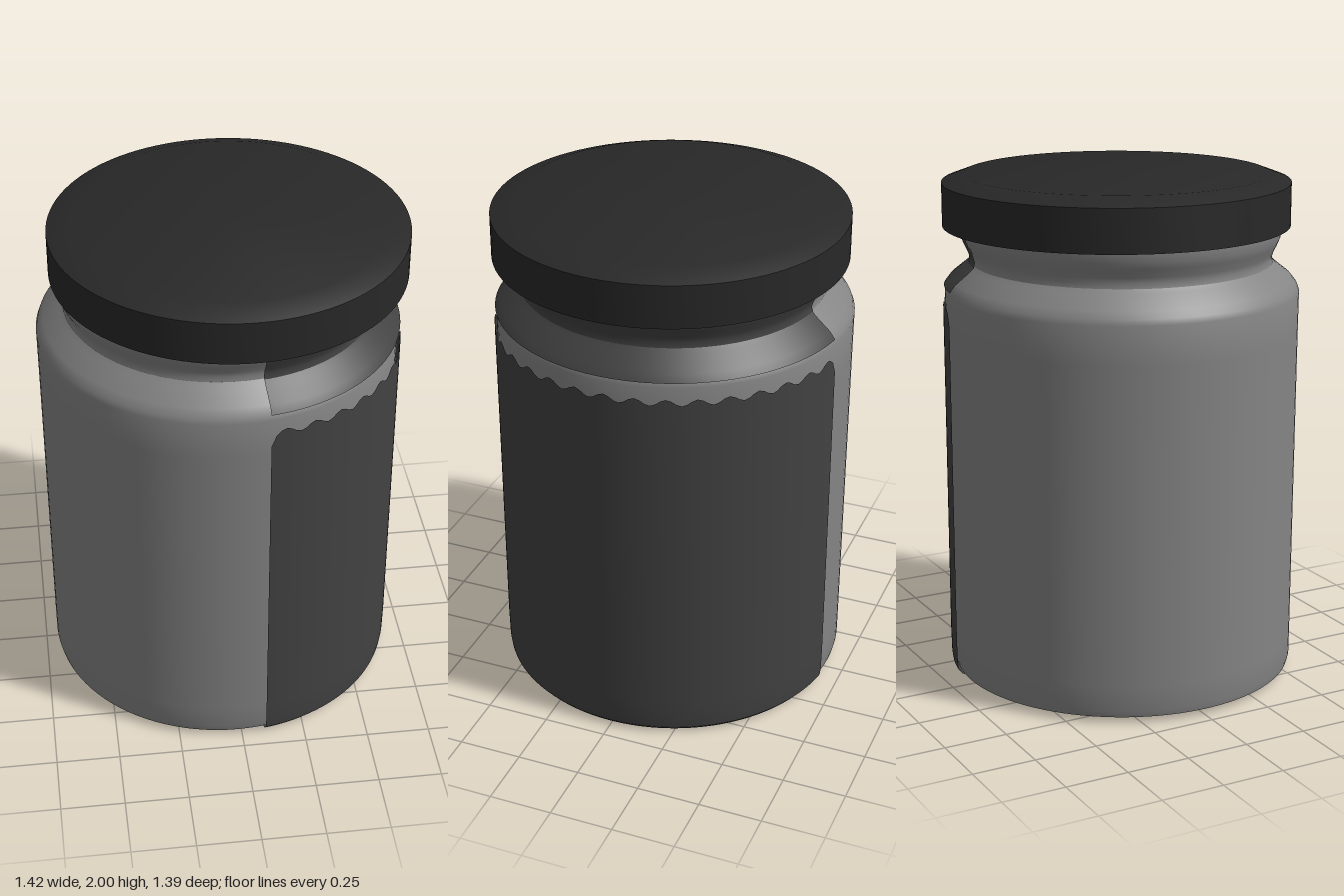
import * as THREE from 'three';
import { toCreasedNormals } from 'three/addons/utils/BufferGeometryUtils.js';

const SEGMENTS = 102;
const TEETH = 17;
const LABEL_HALF_ANGLE = THREE.MathUtils.degToRad(81.5);

const material = (color) => new THREE.MeshStandardMaterial({ color, side: THREE.DoubleSide });
const points = (profile) => profile.map(([r, y]) => new THREE.Vector2(r, y));

function addMesh(group, name, geometry, mat, x) {
  const mesh = new THREE.Mesh(toCreasedNormals(geometry, 0.5), mat);
  mesh.name = name;
  mesh.position.x = x;
  group.add(mesh);
}

// Full turn about y
const turned = (profile) => new THREE.LatheGeometry(points(profile), SEGMENTS);

// Partial turn centred on +x
const wrapped = (profile) => new THREE.LatheGeometry(
  points(profile), SEGMENTS, Math.PI / 2 - LABEL_HALF_ANGLE, 2 * LABEL_HALF_ANGLE);

// Shoulder and neck, shared by the glass and the band around it
const neckProfile = [
  [0.685, 1.572], [0.664, 1.6], [0.604, 1.648], [0.588, 1.664],
  [0.584, 1.684], [0.59, 1.705], [0.606, 1.738], [0.617, 1.765], [0.62, 1.8], [0.62, 1.9],
];

// Body wrap: a curl under the base, a straight wall and a scalloped top edge
function bodyLabelGeometry() {
  const profile = [
    [0.54, 0.004], [0.6, 0.002], [0.655, 0], [0.675, 0.008], [0.69, 0.026],
    [0.694, 0.055], [0.696, 0.15], [0.696, 1.4], [0.696, 1.5],
  ];
  const geometry = wrapped(profile);
  const pos = geometry.attributes.position;
  const rows = profile.length;
  for (let i = 0; i <= SEGMENTS; i++) {
    const t = (i / SEGMENTS) * 2 - 1;
    // Scallops, with rounded corners at the two ends
    const corner = Math.max(0, (Math.abs(t) - 0.965) / 0.035);
    const drop = 0.045 * (1 - Math.sqrt(1 - Math.min(1, corner) ** 2));
    const top = 1.495 + 0.013 * Math.cos(t * Math.PI * TEETH) - drop;
    pos.setY(i * rows + rows - 1, top);

    // Round the ends of the curl below the base
    const grow = 1 + 0.1 * corner * corner;
    pos.setX(i * rows, pos.getX(i * rows) * grow);
    pos.setZ(i * rows, pos.getZ(i * rows) * grow);
  }
  return geometry;
}

export function createModel() {
  const group = new THREE.Group();
  group.name = 'jar';
  const glass = material(0x858585);
  const paper = material(0x424242);
  const metal = material(0x282828);

  // Glass jar with a flat base and a closed mouth hidden in the lid
  addMesh(group, 'glassBody', turned([
    [0, 0.02], [0.665, 0.02], [0.68, 0.025], [0.686, 0.05], [0.687, 0.15],
    [0.692, 1.4], [0.693, 1.55], ...neckProfile, [0.6, 1.93], [0, 1.93],
  ]), glass, -0.0175);

  // Half wraps on the left side
  addMesh(group, 'bodyLabel', bodyLabelGeometry(), paper, -0.006);
  addMesh(group, 'neckLabel', wrapped(neckProfile.map(([r, y]) => [r + 0.006, y])), paper, -0.006);

  // Hollow lid with a chamfered top
  addMesh(group, 'lid', turned([
    [0, 1.95], [0.655, 1.95], [0.655, 1.8], [0.68, 1.8], [0.68, 1.968],
    [0.595, 2], [0, 2],
  ]), metal, 0.028);

  return group;
}
